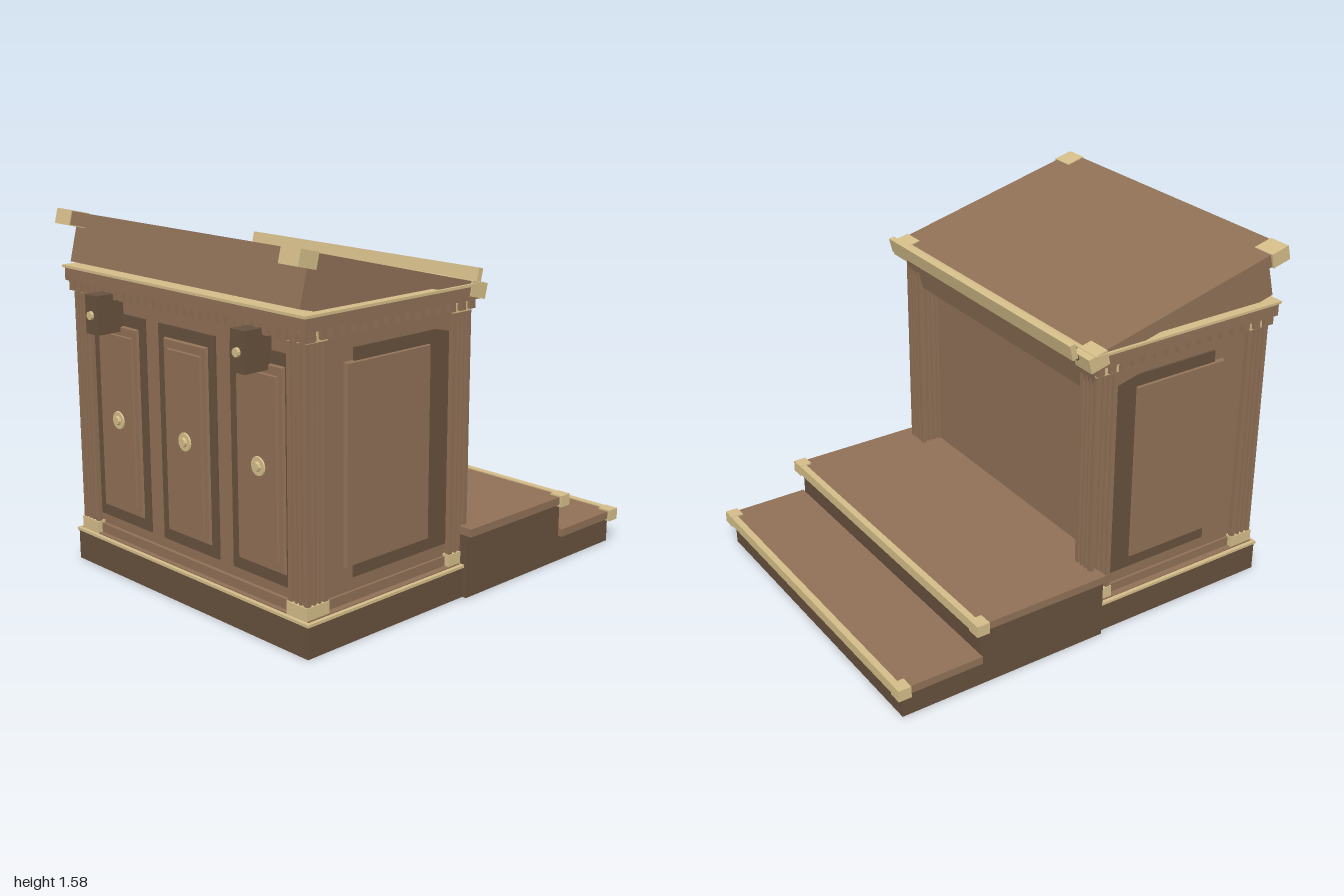
import * as THREE from 'three';

const material = (color) => new THREE.MeshStandardMaterial({ color, flatShading: true });

export function createModel() {
  const root = new THREE.Group();
  const wood = material(0x8f7056), dark = material(0x66503d), cream = material(0xd3bc88);

  const add = (name, geometry, mat, parent = root) => {
    const mesh = new THREE.Mesh(geometry, mat);
    mesh.name = name;
    parent.add(mesh);
    return mesh;
  };
  // Box given by its extents on each axis
  const block = (name, x0, x1, y0, y1, z0, z1, mat, parent) => {
    const g = new THREE.BoxGeometry(x1 - x0, y1 - y0, z1 - z0);
    g.translate((x0 + x1) / 2, (y0 + y1) / 2, (z0 + z1) / 2);
    return add(name, g, mat, parent);
  };
  // Slab whose front face is inset to give sloping edges
  const bevelled = (w, h, d, inset) => {
    const g = new THREE.BoxGeometry(w, h, d);
    const p = g.attributes.position;
    for (let i = 0; i < p.count; i++) {
      if (p.getZ(i) > 0) {
        p.setX(i, p.getX(i) - Math.sign(p.getX(i)) * inset);
        p.setY(i, p.getY(i) - Math.sign(p.getY(i)) * inset);
      }
    }
    g.translate(0, 0, d / 2);
    return g;
  };

  // Plinth with trim
  block('plinth', -0.75, 0.75, 0, 0.135, 0, 0.905, dark);
  block('plinthTrim', -0.757, 0.757, 0.133, 0.145, 0.02, 0.91, cream);
  block('plinthTop', -0.74, 0.74, 0.135, 0.149, 0.03, 0.893, wood);

  // Steps at the back, each with a tread and a nosing that wraps the corners
  const step = (name, top, back, front) => {
    const g = new THREE.Group();
    g.name = name;
    root.add(g);
    block('riser', -0.77, 0.77, 0, top - 0.038, back, front, dark, g);
    block('tread', -0.79, 0.79, top - 0.038, top - 0.003, back - 0.008, front, wood, g);
    block('nosing', -0.8, 0.8, top - 0.042, top + 0.002, back - 0.03, back, cream, g);
    for (const s of [-1, 1]) {
      block('nosingCorner', s * 0.77 - 0.031, s * 0.77 + 0.031, top - 0.048, top + 0.004, back - 0.032, back + 0.027, cream, g);
    }
  };
  step('upperStep', 0.312, -0.6, 0.02);
  step('lowerStep', 0.155, -0.968, -0.6);
  block('landing', -0.63, 0.63, 0.14, 0.309, 0, 0.085, wood);

  // Cabinet body and skirting
  block('body', -0.7, 0.7, 0.14, 1.28, 0.08, 0.855, wood);
  block('skirting', -0.712, 0.712, 0.145, 0.19, 0.09, 0.872, wood);

  // Fluted corner columns: square section with notches in every side
  const half = 0.054, notch = 0.007, depth = 0.012;
  const section = [];
  for (let side = 0; side < 4; side++) {
    const pts = [[-half, -half]];
    for (const c of [-0.026, 0, 0.026]) {
      pts.push([c - notch, -half], [c - notch, -half + depth], [c + notch, -half + depth], [c + notch, -half]);
    }
    for (const [x, y] of pts) {
      section.push(new THREE.Vector2(x, y).rotateAround(new THREE.Vector2(), side * Math.PI / 2));
    }
  }
  const columnGeo = new THREE.ExtrudeGeometry(new THREE.Shape(section), { depth: 1.03, bevelEnabled: false });
  columnGeo.rotateX(-Math.PI / 2);
  for (const x of [-0.676, 0.676]) {
    for (const z of [0.034, 0.834]) {
      add('column', columnGeo, wood).position.set(x, 0.195, z);
      block('columnBase', x - 0.058, x + 0.058, 0.14, 0.2, z - 0.058, z + 0.06, cream);
      block('columnCap', x - 0.055, x + 0.055, 1.22, 1.27, z - 0.055, z + 0.055, cream);
    }
  }

  // Front panels with round knobs
  for (const x of [-0.45, 0, 0.45]) {
    block('frontPanelFrame', x - 0.18, x + 0.18, 0.235, 1.16, 0.84, 0.862, dark);
    add('frontPanel', bevelled(0.275, 0.825, 0.012, 0.006), wood).position.set(x, 0.697, 0.861);
    add('frontPanelField', bevelled(0.215, 0.74, 0.008, 0.004), wood).position.set(x, 0.7, 0.872);
    const knob = new THREE.Group();
    knob.name = 'knob';
    knob.position.set(x, 0.697, 0.878);
    root.add(knob);
    const rose = new THREE.CylinderGeometry(0.038, 0.045, 0.014, 16).rotateX(Math.PI / 2);
    const centre = new THREE.CylinderGeometry(0.018, 0.022, 0.014, 8).rotateX(Math.PI / 2);
    add('knobRose', rose, cream, knob);
    add('knobCentre', centre, cream, knob).position.z = 0.011;
  }

  // Side panels
  for (const s of [-1, 1]) {
    block('sidePanelFrame', s * 0.7 - 0.008, s * 0.7 + 0.008, 0.245, 1.165, 0.085, 0.62, dark);
    const panel = add('sidePanel', bevelled(0.47, 0.82, 0.018, 0.006), wood);
    panel.position.set(s * 0.7, 0.705, 0.435);
    panel.rotation.y = s * Math.PI / 2;
  }

  // Brackets hung under the cornice
  for (const x of [-0.465, 0.465]) {
    block('bracket', x - 0.04, x + 0.04, 1.085, 1.25, 0.85, 0.988, dark);
    const stud = new THREE.CylinderGeometry(0.018, 0.02, 0.014, 10).rotateX(Math.PI / 2);
    add('bracketStud', stud, cream).position.set(x, 1.165, 0.993);
  }

  // Dentils along the front and both sides
  for (let i = 0; i < 30; i++) {
    const x = -0.725 + i * 0.05;
    block('frontDentil', x - 0.016, x + 0.016, 1.225, 1.272, 0.85, 0.905, wood);
  }
  for (const s of [-1, 1]) {
    for (let i = 0; i < 16; i++) {
      const z = -0.01 + i * 0.0585;
      block('sideDentil', s * 0.72 - 0.026, s * 0.72 + 0.026, 1.23, 1.272, z - 0.016, z + 0.016, wood);
    }
  }

  // Cornice and its trim
  block('cornice', -0.755, 0.755, 1.268, 1.325, -0.045, 0.915, wood);
  block('corniceTrim', -0.763, 0.763, 1.323, 1.334, -0.055, 0.922, cream);

  // Sloping desk, built flat from its lower back edge and then tilted
  const desk = new THREE.Group();
  desk.name = 'desk';
  desk.position.set(0, 1.322, -0.08);
  desk.rotation.x = -0.244;
  root.add(desk);
  block('deskTop', -0.75, 0.75, -0.057, 0, 0, 1.043, wood, desk);
  block('deskBox', -0.72, 0.72, -0.21, -0.05, 0.03, 0.965, wood, desk);
  for (const x of [-0.706, 0.706]) {
    for (const z of [0.043, 1.001]) {
      block('deskCorner', x - 0.053, x + 0.053, -0.061, 0.004, z - 0.046, z + 0.046, cream, desk);
    }
  }
  block('lipSupport', -0.69, 0.69, -0.02, -0.003, -0.014, 0.005, dark, desk);
  block('bookLip', -0.695, 0.695, -0.008, 0.06, -0.036, -0.01, cream, desk);

  return root;
}
